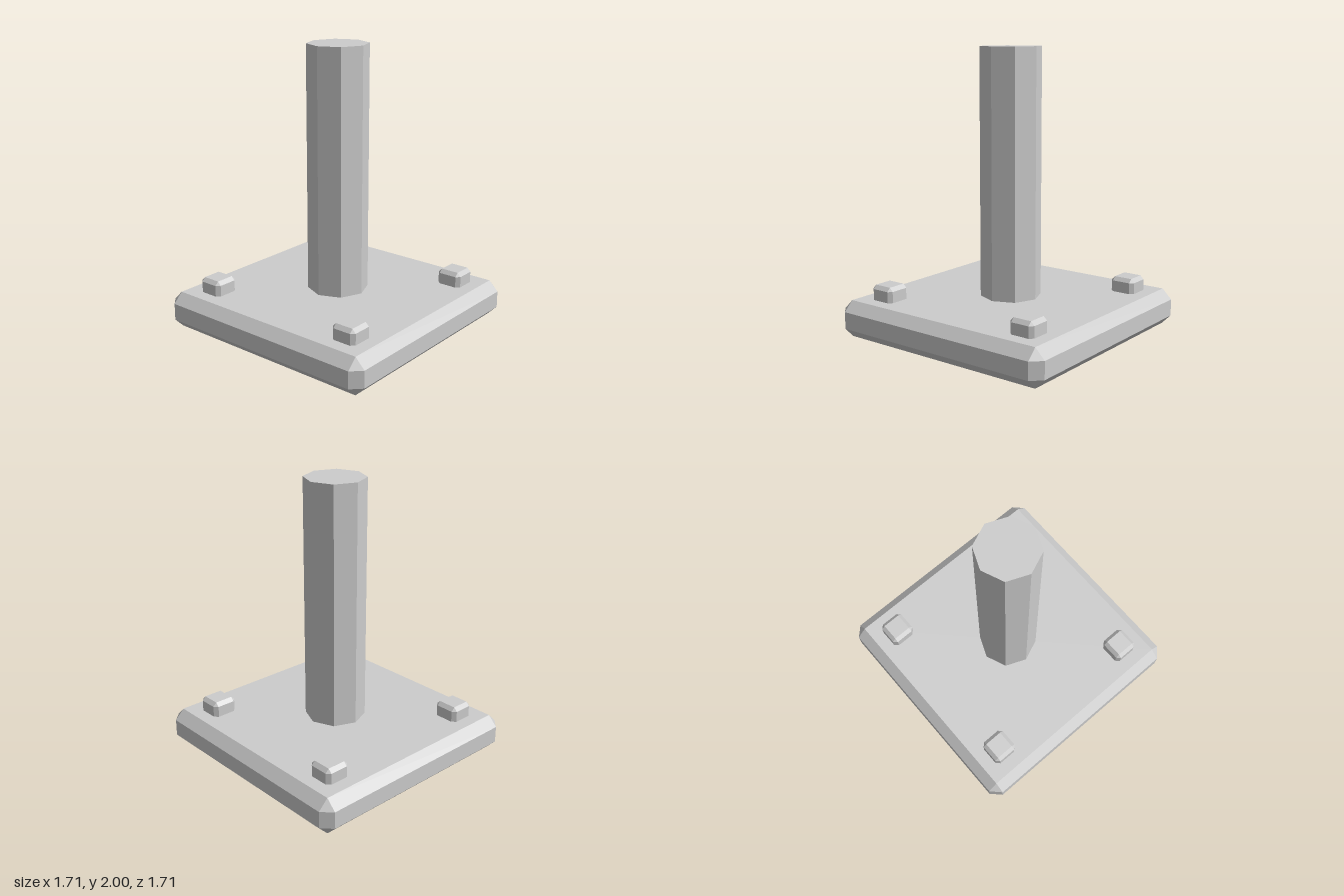
import * as THREE from 'three';
import { ConvexGeometry } from 'three/addons/geometries/ConvexGeometry.js';

// Box centred on x and z with every edge and corner bevelled by c
function bevelledBox(half, y0, y1, c) {
  const points = [];
  const h = (y1 - y0) / 2, mid = (y0 + y1) / 2;
  for (const sx of [-1, 1]) for (const sy of [-1, 1]) for (const sz of [-1, 1]) {
    points.push(
      new THREE.Vector3(sx * half, mid + sy * (h - c), sz * (half - c)),
      new THREE.Vector3(sx * (half - c), mid + sy * h, sz * (half - c)),
      new THREE.Vector3(sx * (half - c), mid + sy * (h - c), sz * half)
    );
  }
  return new ConvexGeometry(points);
}

export function createModel() {
  const group = new THREE.Group();
  group.name = 'postOnPlate';
  const steel = new THREE.MeshStandardMaterial({ color: 0xcccccc, flatShading: true });
  steel.name = 'light grey metal';

  const add = (name, geometry, x = 0, y = 0, z = 0) => {
    const mesh = new THREE.Mesh(geometry, steel);
    mesh.name = name;
    mesh.position.set(x, y, z);
    group.add(mesh);
  };

  // Square base plate
  add('basePlate', bevelledBox(0.855, 0, 0.26, 0.07));

  // Octagonal post with a corner facing front
  add('post', new THREE.CylinderGeometry(0.214, 0.214, 1.78, 8), 0, 1.11, 0);

  // Four bolt heads set into the plate
  const bolt = bevelledBox(0.092, 0.2, 0.365, 0.026);
  for (const x of [-0.6, 0.6]) {
    for (const z of [-0.6, 0.6]) {
      add(`${z > 0 ? 'front' : 'back'}${x > 0 ? 'Left' : 'Right'}Bolt`, bolt, x, 0, z);
    }
  }
  return group;
}
